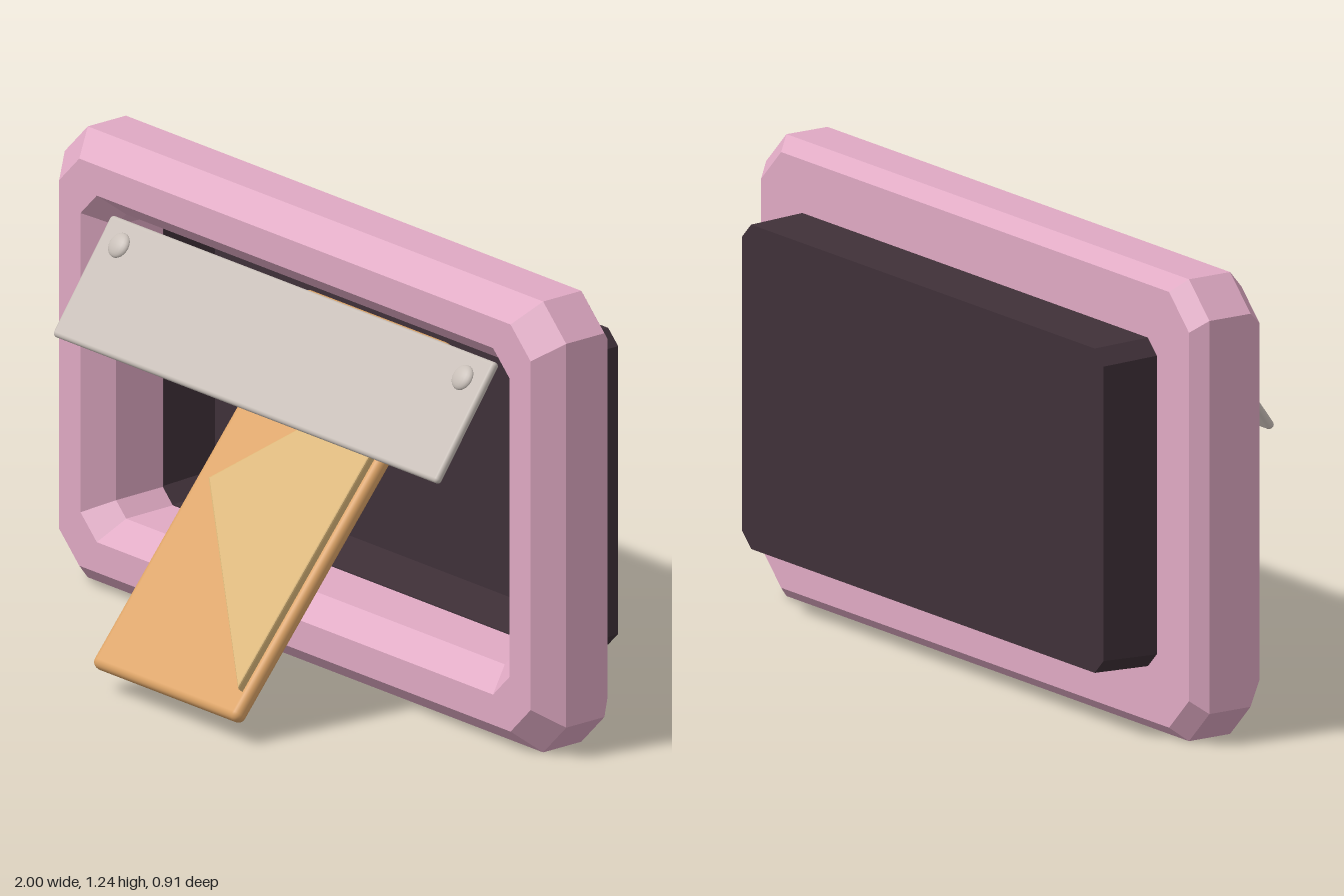
import * as THREE from 'three';
import { RoundedBoxGeometry } from 'three/addons/geometries/RoundedBoxGeometry.js';

const mat = (name, color, options = {}) => {
  const m = new THREE.MeshStandardMaterial({ color, ...options });
  m.name = name;
  return m;
};

// Rectangle with cut corners, counter-clockwise seen from +z
function ring([hx, hy, cut, z]) {
  const a = hx - cut, b = hy - cut;
  return [[hx, -b], [hx, b], [a, hy], [-a, hy], [-hx, b], [-hx, -b], [-a, -hy], [a, -hy]]
    .map(([x, y]) => new THREE.Vector3(x, y, z));
}

// Skin through a list of rings
function loft(sections, closed) {
  const rings = sections.map(ring);
  if (closed) rings.push(rings[0]);
  const points = [];
  const triangle = (a, b, c) => {
    if (!a.equals(b) && !b.equals(c) && !a.equals(c)) points.push(a, b, c);
  };
  for (let i = 0; i + 1 < rings.length; i++) {
    for (let j = 0; j < 8; j++) {
      const k = (j + 1) % 8;
      triangle(rings[i][j], rings[i][k], rings[i + 1][k]);
      triangle(rings[i][j], rings[i + 1][k], rings[i + 1][j]);
    }
  }
  const g = new THREE.BufferGeometry().setFromPoints(points);
  g.computeVertexNormals();
  return g;
}

export function createModel() {
  const model = new THREE.Group();
  model.name = 'mailSlot';
  const pink = mat('frame pink', 0xdfa9c3, { flatShading: true });
  const dark = mat('box dark plum', 0x3f3038, { flatShading: true });
  const grey = mat('flap grey', 0xc8bfb8);
  const orange = mat('envelope orange', 0xdca366);
  const tan = mat('envelope flap tan', 0xdab678);

  const add = (parent, name, geometry, material, x = 0, y = 0, z = 0) => {
    const mesh = new THREE.Mesh(geometry, material);
    mesh.name = name;
    mesh.position.set(x, y, z);
    parent.add(mesh);
    return mesh;
  };

  // Chamfered frame: half width, half height, corner cut, z
  add(model, 'frame', loft([
    [0.965, 0.583, 0.09, -0.295], [1, 0.618, 0.092, -0.255], [1, 0.618, 0.092, -0.125],
    [0.94, 0.558, 0.08, -0.055], [0.855, 0.475, 0.065, -0.055],
    [0.795, 0.417, 0.04, -0.125], [0.79, 0.414, 0.04, -0.295],
  ], true), pink, 0, 0.619);

  // Open box behind the frame
  add(model, 'backBox', loft([
    [0, 0, 0, -0.46], [0.815, 0.434, 0.04, -0.46], [0.82, 0.44, 0.04, -0.28],
    [0.788, 0.412, 0.04, -0.28], [0.775, 0.4, 0.04, -0.445], [0, 0, 0, -0.445],
  ], false), dark, 0, 0.62);

  // Hinged metal flap with two domed rivets
  const flap = new THREE.Group();
  flap.name = 'slotFlap';
  flap.position.set(0, 0.895, 0.01);
  flap.rotation.x = -0.62;
  add(flap, 'flapPlate', new RoundedBoxGeometry(1.534, 0.35, 0.024, 3, 0.011), grey);
  for (const side of [-1, 1]) {
    const rivet = add(flap, side > 0 ? 'leftRivet' : 'rightRivet',
      new THREE.SphereGeometry(0.035, 20, 12), grey, side * 0.685, 0.106, 0.012);
    rivet.scale.z = 0.45;
  }
  model.add(flap);

  // Envelope sliding through the slot
  const envelope = new THREE.Group();
  envelope.name = 'envelope';
  envelope.position.set(0.07, 0.5, 0.078);
  envelope.rotation.x = -0.697;
  add(envelope, 'envelopeBody', new RoundedBoxGeometry(0.58, 1.136, 0.045, 3, 0.02), orange);
  const triangle = new THREE.Shape([
    new THREE.Vector2(0.264, -0.485), new THREE.Vector2(0.264, 0.485), new THREE.Vector2(-0.214, 0),
  ]);
  add(envelope, 'envelopeFlap', new THREE.ExtrudeGeometry(triangle, {
    depth: 0.016, bevelEnabled: true, bevelThickness: 0.006, bevelSize: 0.006, bevelSegments: 2,
  }), tan, 0, 0, 0.0225);
  model.add(envelope);

  return model;
}
